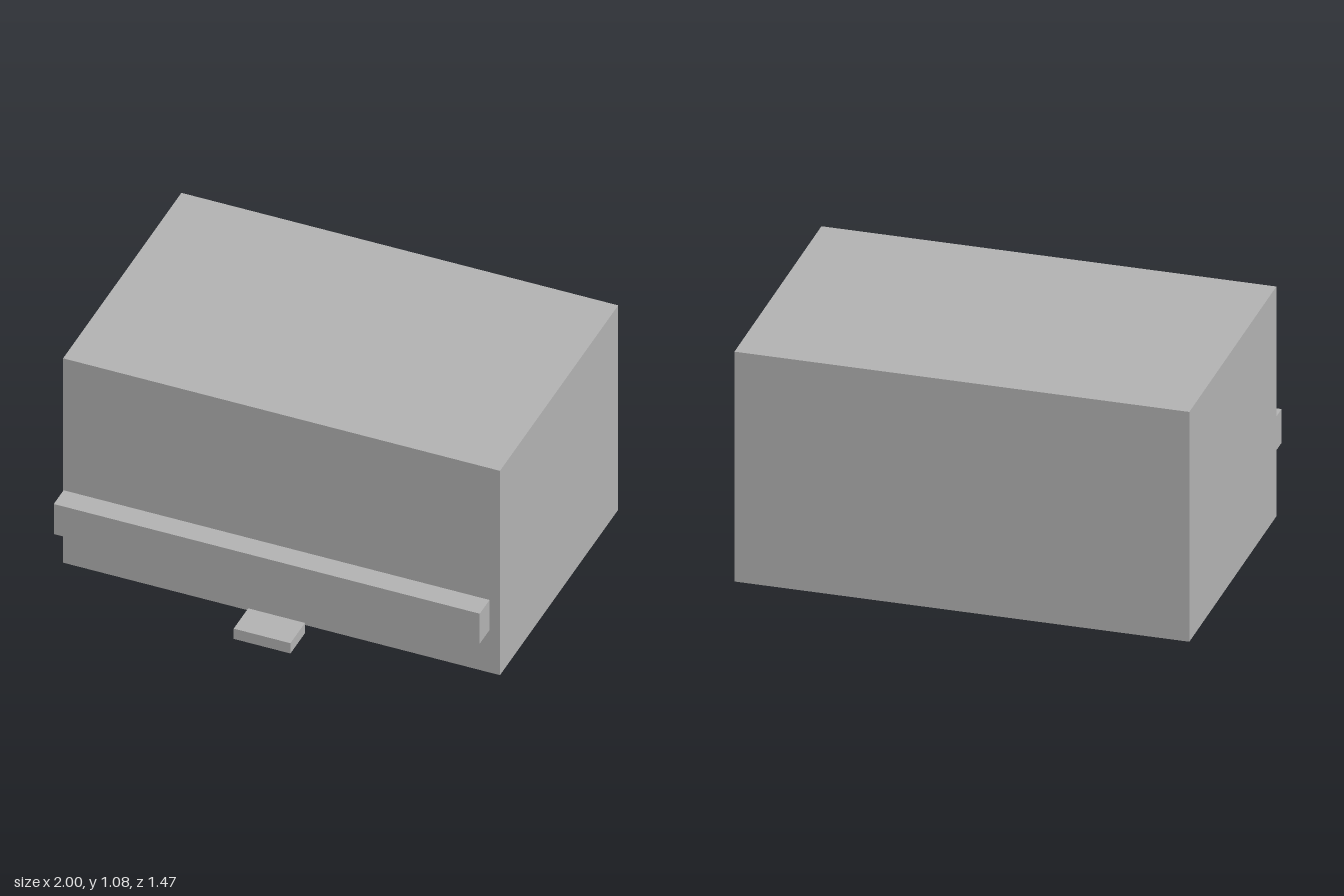
import * as THREE from 'three';

const grey = new THREE.MeshStandardMaterial({ color: 0xb2b2b2, side: THREE.DoubleSide });
grey.name = 'plain grey';

// Thin-walled box without a floor, spanning y0..y1 and z0..z1, centred on x = 0
function openBox(name, width, y0, y1, z0, z1) {
  const geometry = new THREE.BoxGeometry(width, y1 - y0, z1 - z0);
  const index = Array.from(geometry.index.array);
  index.splice(18, 6); // drop the bottom face
  geometry.setIndex(index);
  geometry.clearGroups();
  const mesh = new THREE.Mesh(geometry, grey);
  mesh.name = name;
  mesh.position.set(0, (y0 + y1) / 2, (z0 + z1) / 2);
  return mesh;
}

export function createModel() {
  const model = new THREE.Group();
  model.name = 'boxWithRail';
  model.add(
    openBox('mainBody', 2, 0, 1.075, -0.735, 0.527), // large shell
    openBox('frontRail', 1.95, 0.267, 0.425, 0.58, 0.685), // long bar ahead of the shell
    openBox('frontStep', 0.26, 0, 0.054, 0.58, 0.735), // small step on the ground
  );
  return model;
}
